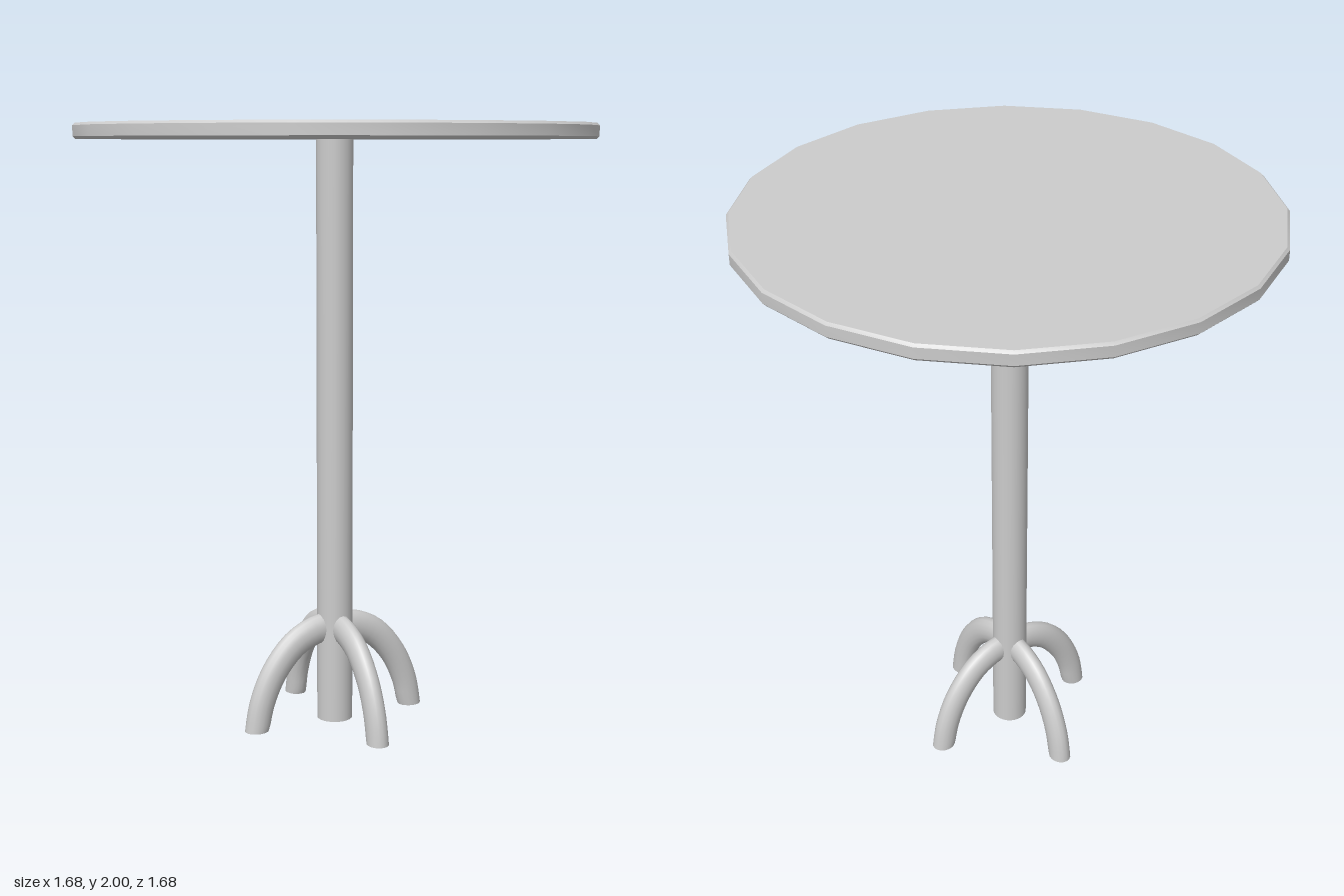
import * as THREE from 'three';
import { toCreasedNormals } from 'three/addons/utils/BufferGeometryUtils.js';

const material = new THREE.MeshStandardMaterial({ color: 0xcccccc });

function part(name, geometry) {
  const mesh = new THREE.Mesh(geometry, material);
  mesh.name = name;
  return mesh;
}

// Curved leg running out along +x: oval section, tapering to a flat foot
function legGeometry() {
  const path = new THREE.CatmullRomCurve3([
    [0.02, 0.324], [0.07, 0.319], [0.15, 0.282], [0.225, 0.2], [0.273, 0.1], [0.296, 0],
  ].map(([x, y]) => new THREE.Vector3(x, y, 0)));
  const rings = 16, sides = 16;
  const geometry = new THREE.TubeGeometry(path, rings, 1, sides, false);
  const pos = geometry.attributes.position;
  for (let i = 0; i <= rings; i++) {
    const t = i / rings;
    const centre = path.getPointAt(t);
    const depth = THREE.MathUtils.lerp(0.051, 0.042, t);
    const width = THREE.MathUtils.lerp(0.033, 0.036, t);
    for (let j = 0; j <= sides; j++) {
      const k = i * (sides + 1) + j;
      const x = centre.x + (pos.getX(k) - centre.x) * depth;
      const y = centre.y + (pos.getY(k) - centre.y) * depth;
      pos.setXYZ(k, x, i === rings ? 0 : y, pos.getZ(k) * width);
    }
  }
  return toCreasedNormals(geometry, 0.7);
}

export function createModel() {
  const table = new THREE.Group();
  table.name = 'pedestalTable';

  // Twenty-sided top with a fine bevel on both rims
  const r = 0.838, b = 0.008;
  const profile = [
    [0, 1.95], [r - b, 1.95], [r, 1.95 + b], [r, 2 - b], [r - b, 2], [0, 2],
  ].map(([x, y]) => new THREE.Vector2(x, y));
  table.add(part('tabletop', toCreasedNormals(new THREE.LatheGeometry(profile, 20), 0.6)));

  // Central post, with four legs around it
  const base = new THREE.Group();
  base.name = 'base';
  base.position.x = -0.005;
  const post = part('post', new THREE.CylinderGeometry(0.06, 0.06, 1.96, 24));
  post.position.y = 0.98;
  base.add(post);

  const legShape = legGeometry();
  const soleShape = new THREE.CircleGeometry(1, 16).rotateX(Math.PI / 2).scale(0.041, 1, 0.036);
  for (let i = 0; i < 4; i++) {
    const leg = new THREE.Group();
    leg.name = 'leg' + (i + 1);
    const sole = part('footSole', soleShape);
    sole.position.x = 0.296;
    leg.add(part('legCurve', legShape), sole);
    leg.rotation.y = i * Math.PI / 2;
    base.add(leg);
  }
  table.add(base);
  return table;
}
